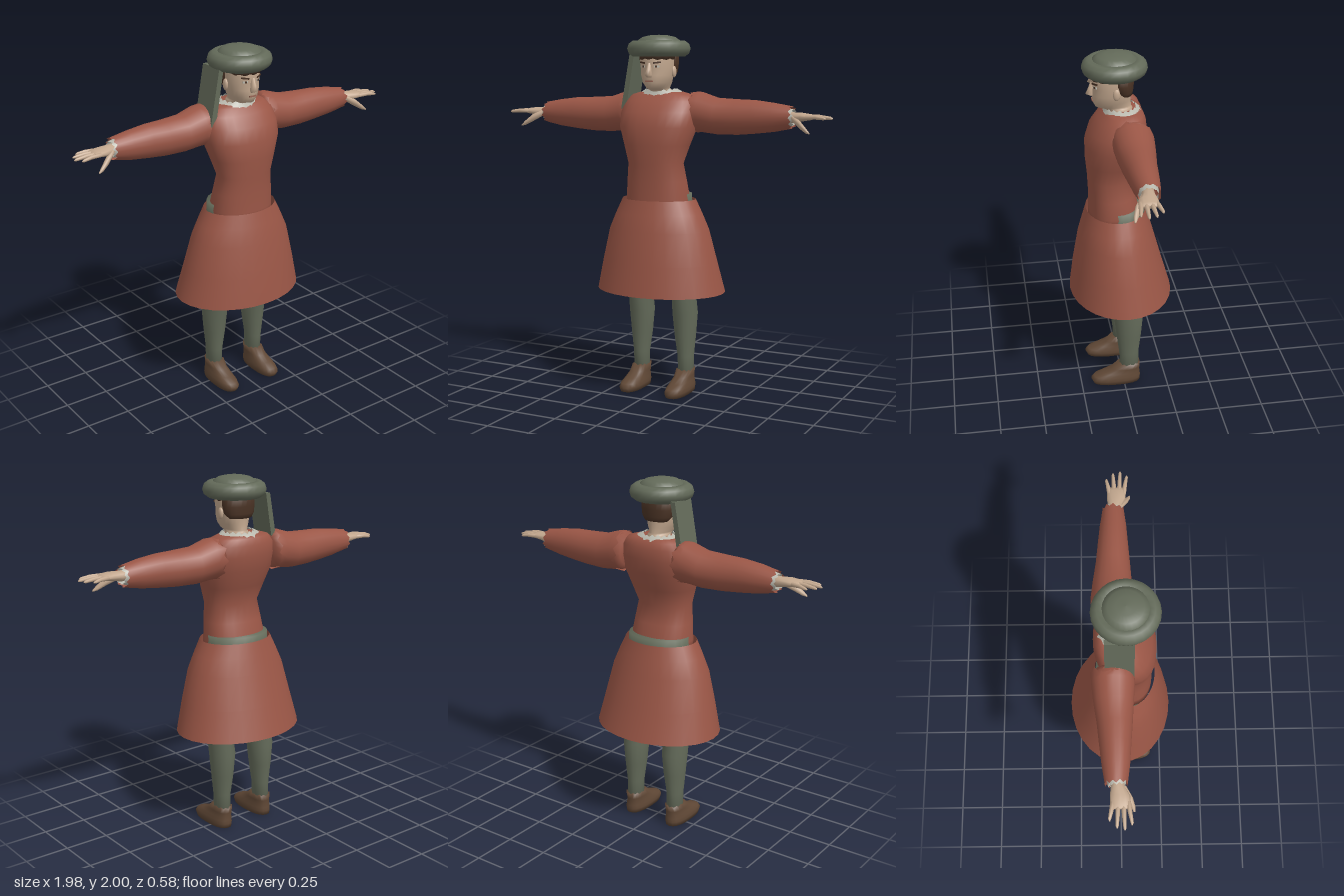
import * as THREE from 'three';

const mat = (name, color, side = THREE.FrontSide) => {
  const m = new THREE.MeshStandardMaterial({ color, side });
  m.name = name;
  return m;
};

// Skin a tube over oval sections: [along, centre, radius, zFront, zBack, zigzag].
// axis 'y' runs upward (centre and radius in x); axis 'x' runs sideways (in y).
function loft(rings, { axis = 'y', n = 20, power = 1, caps = true } = {}) {
  const pos = [], idx = [];
  const put = (along, across, z) => axis === 'y' ? pos.push(across, along, z) : pos.push(along, across, z);
  const bend = v => Math.sign(v) * Math.abs(v) ** power;
  for (const [along, c, r, zf, zb, zig = 0] of rings) {
    for (let i = 0; i < n; i++) {
      const a = i / n * Math.PI * 2;
      const jag = zig * (i % 2 ? 1 : -0.6) * (i % 3 ? 1 : 0.5);
      put(along + jag, c + r * bend(Math.sin(a)), (zf + zb) / 2 + (zf - zb) / 2 * bend(Math.cos(a)));
    }
  }
  const face = (a, b, c) => axis === 'y' ? idx.push(a, b, c) : idx.push(a, c, b);
  for (let k = 0; k < rings.length - 1; k++) {
    for (let i = 0; i < n; i++) {
      const a = k * n + i, b = k * n + (i + 1) % n;
      face(a, b, b + n);
      face(a, b + n, a + n);
    }
  }
  if (caps) {
    for (const k of [0, rings.length - 1]) {
      const [along, c, , zf, zb] = rings[k], hub = pos.length / 3;
      put(along, c, (zf + zb) / 2);
      for (let i = 0; i < n; i++) {
        const a = k * n + i, b = k * n + (i + 1) % n;
        if (k) face(a, b, hub); else face(b, a, hub);
      }
    }
  }
  const g = new THREE.BufferGeometry();
  g.setAttribute('position', new THREE.Float32BufferAttribute(pos, 3));
  g.setIndex(idx);
  g.computeVertexNormals();
  return g;
}

// Mirror a geometry in x, keeping its faces outward
function mirrored(geo) {
  const g = geo.clone().scale(-1, 1, 1), id = g.index.array;
  for (let i = 0; i < id.length; i += 3) [id[i], id[i + 1]] = [id[i + 1], id[i]];
  return g;
}

export function createModel() {
  const model = new THREE.Group();
  model.name = 'manInTunic';
  const red = mat('russet cloth', 0x9a5646, THREE.DoubleSide);
  const green = mat('grey green cloth', 0x636a59);
  const skin = mat('skin', 0xc2a78e);
  const brown = mat('shoe leather', 0x5f4735);
  const hairMat = mat('dark brown hair', 0x4a3325);
  const linen = mat('linen', 0xb9b8ad, THREE.DoubleSide);
  const lip = mat('lips', 0x966555);

  const add = (name, geo, material) => {
    const m = new THREE.Mesh(geo, material);
    m.name = name;
    model.add(m);
  };
  const pair = (name, geo, material) => {
    add(name + 'Left', geo, material);
    add(name + 'Right', mirrored(geo), material);
  };

  // Tunic body, collar, skirt and the waistband of the hose
  add('tunicBody', loft([
    [1.03, 0, 0.18, 0.175, -0.11], [1.1, 0, 0.18, 0.175, -0.105], [1.2, 0, 0.17, 0.175, -0.075],
    [1.3, 0, 0.157, 0.18, -0.05], [1.4, 0, 0.187, 0.19, -0.09], [1.5, 0, 0.222, 0.19, -0.125],
    [1.58, 0, 0.225, 0.165, -0.14], [1.64, 0, 0.21, 0.12, -0.135], [1.675, 0, 0.175, 0.085, -0.12],
    [1.69, 0, 0.12, 0.07, -0.1],
  ], { n: 28, power: 0.88 }), red);
  add('collar', loft([
    [1.672, 0, 0.14, 0.09, -0.118, 0.006], [1.692, 0, 0.115, 0.08, -0.102], [1.7, 0, 0.085, 0.078, -0.085, 0.009],
  ], { n: 32, caps: false }), linen);
  add('skirt', loft([
    [0.58, 0, 0.375, 0.29, -0.29], [0.75, 0, 0.336, 0.268, -0.24], [0.93, 0, 0.293, 0.237, -0.19],
    [1.02, 0, 0.253, 0.213, -0.163], [1.1, 0, 0.213, 0.192, -0.14],
  ], { n: 28, caps: false }), red);
  add('waistband', loft([
    [0.92, 0, 0.18, 0.13, -0.13], [1.05, 0, 0.187, 0.15, -0.136], [1.13, 0, 0.182, 0.15, -0.136],
  ], { n: 24 }), green);

  // Legs and shoes
  pair('leg', loft([
    [0.09, 0.14, 0.042, 0.02, -0.09], [0.2, 0.14, 0.045, 0.025, -0.09], [0.32, 0.137, 0.059, 0.04, -0.105],
    [0.45, 0.136, 0.07, 0.055, -0.116], [0.58, 0.137, 0.063, 0.08, -0.097], [0.75, 0.125, 0.08, 0.1, -0.1],
    [0.95, 0.1, 0.092, 0.1, -0.11], [1.05, 0.09, 0.09, 0.09, -0.1],
  ], { n: 16 }), green);
  pair('shoe', loft([
    [0, 0.142, 0.056, 0.18, -0.097], [0.025, 0.142, 0.06, 0.192, -0.1], [0.045, 0.142, 0.057, 0.175, -0.098],
    [0.065, 0.141, 0.051, 0.125, -0.095], [0.09, 0.14, 0.046, 0.07, -0.096], [0.12, 0.14, 0.047, 0.03, -0.098, 0.008],
  ], { n: 20, power: 0.8 }), brown);

  // Sleeves with ragged seams, and linen cuffs
  pair('sleeve', loft([
    [0.19, 1.58, 0.112, 0.07, -0.152, 0.025], [0.235, 1.58, 0.11, 0.073, -0.15], [0.33, 1.56, 0.1, 0.066, -0.14],
    [0.45, 1.558, 0.096, 0.058, -0.122], [0.55, 1.561, 0.09, 0.05, -0.112], [0.66, 1.561, 0.077, 0.042, -0.1],
    [0.755, 1.562, 0.058, 0.03, -0.086, 0.012],
  ], { axis: 'x', n: 20, caps: false }), red);
  pair('shoulderRoll', loft([
    [0.17, 1.585, 0.085, 0.045, -0.125], [0.2, 1.585, 0.108, 0.06, -0.147], [0.25, 1.58, 0.105, 0.06, -0.14],
  ], { axis: 'x' }), red);
  pair('cuff', loft([
    [0.72, 1.562, 0.052, 0.025, -0.08], [0.765, 1.562, 0.042, 0.018, -0.07, 0.009],
  ], { axis: 'x', caps: false }), linen);

  // Hands: palm, four fingers, thumb
  pair('palm', loft([
    [0.7, 1.562, 0.032, 0.005, -0.058], [0.77, 1.563, 0.028, 0.014, -0.055], [0.82, 1.567, 0.023, 0.04, -0.06],
    [0.865, 1.568, 0.016, 0.043, -0.058], [0.885, 1.567, 0.01, 0.038, -0.053],
  ], { axis: 'x', n: 12 }), skin);
  const fingers = [[-0.046, -0.062, 0.945], [-0.02, -0.026, 0.98], [0.006, 0.012, 0.99], [0.03, 0.047, 0.965]];
  fingers.forEach(([z0, z1, tip], i) => {
    const zm = (z0 + z1) / 2;
    pair('finger' + (i + 1), loft([
      [0.85, 1.568, 0.012, z0 + 0.013, z0 - 0.013], [(0.85 + tip) / 2, 1.569, 0.011, zm + 0.011, zm - 0.011],
      [tip - 0.012, 1.564, 0.008, z1 + 0.008, z1 - 0.008], [tip, 1.562, 0.003, z1 + 0.003, z1 - 0.003],
    ], { axis: 'x', n: 8 }), skin);
  });
  pair('thumb', loft([
    [0.77, 1.56, 0.018, 0.022, -0.02], [0.82, 1.53, 0.021, 0.053, 0.018],
    [0.86, 1.5, 0.014, 0.066, 0.042], [0.882, 1.486, 0.004, 0.066, 0.056],
  ], { axis: 'x', n: 8 }), skin);

  // Neck, head and nose
  add('head', loft([
    [1.64, 0, 0.068, 0.07, -0.078], [1.69, 0, 0.062, 0.077, -0.068], [1.702, 0, 0.057, 0.09, -0.062],
    [1.71, 0, 0.054, 0.132, -0.06], [1.74, 0, 0.074, 0.147, -0.057], [1.78, 0, 0.085, 0.15, -0.057],
    [1.82, 0, 0.09, 0.146, -0.06], [1.86, 0, 0.092, 0.155, -0.064], [1.92, 0, 0.09, 0.145, -0.06],
  ], { n: 24 }), skin);
  add('nose', loft([
    [1.768, 0, 0.014, 0.152, 0.13], [1.782, 0, 0.02, 0.184, 0.13], [1.81, 0, 0.014, 0.17, 0.13], [1.848, 0, 0.01, 0.156, 0.13],
  ], { n: 10 }), skin);
  pair('ear', new THREE.SphereGeometry(1, 10, 8).scale(0.012, 0.032, 0.02).translate(0.093, 1.8, 0.03), skin);

  // Painted face details
  const plate = (w, h, x, y, z, tilt = 0) =>
    new THREE.BoxGeometry(w, h, 0.008).rotateZ(tilt).rotateY(x * 12).translate(x, y, z);
  pair('eyebrow', plate(0.042, 0.009, 0.043, 1.849, 0.138, 0.12), hairMat);
  pair('eyeWhite', plate(0.028, 0.01, 0.04, 1.828, 0.135), linen);
  pair('iris', plate(0.011, 0.01, 0.038, 1.828, 0.138), hairMat);
  add('mouth', plate(0.044, 0.008, 0, 1.748, 0.147), lip);

  // Hair at the back and a fringe under the hat
  add('hairBack', loft([
    [1.775, 0, 0.07, 0.02, -0.066], [1.8, 0, 0.092, 0.045, -0.07], [1.84, 0, 0.099, 0.06, -0.074], [1.92, 0, 0.1, 0.07, -0.076],
  ], { n: 20 }), hairMat);
  add('hairFringe', loft([
    [1.866, 0, 0.095, 0.158, -0.07, 0.005], [1.92, 0, 0.097, 0.158, -0.07],
  ], { n: 24 }), hairMat);

  // Hat: padded roll, low crown and a hanging tail
  add('hatRoll', new THREE.TorusGeometry(0.13, 0.045, 10, 24).rotateX(Math.PI / 2).translate(0, 1.925, 0.028), green);
  const crown = [[0, 1.9], [0.115, 1.9], [0.122, 1.945], [0.116, 1.97], [0.09, 1.988], [0.05, 1.997], [0, 2]];
  add('hatCrown', new THREE.LatheGeometry(crown.map(p => new THREE.Vector2(...p)), 24).translate(0, 0, 0.028), green);
  const tail = new THREE.Shape([[-0.16, 1.9], [-0.215, 1.595], [-0.183, 1.595], [-0.132, 1.9]].map(p => new THREE.Vector2(...p)));
  add('hatTail', new THREE.ExtrudeGeometry(tail, { depth: 0.15, bevelEnabled: false }).translate(0, 0, -0.08), green);
  return model;
}
